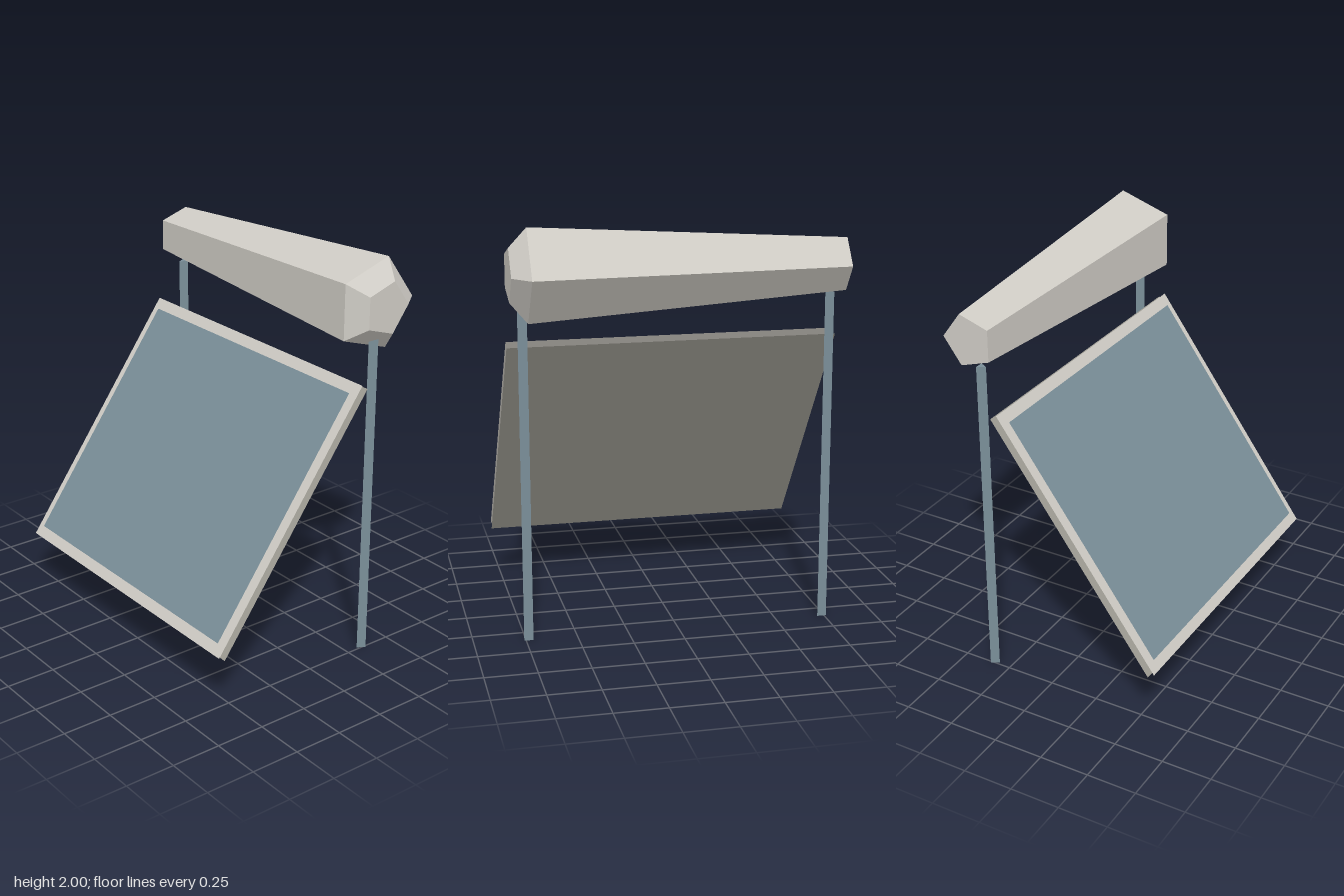
import * as THREE from 'three';

const mat = (name, color, side = THREE.FrontSide) => {
  const m = new THREE.MeshStandardMaterial({ color, flatShading: true, side });
  m.name = name;
  return m;
};

export function createModel() {
  const group = new THREE.Group();
  const stone = mat('pale stone', 0xcfccc5, THREE.DoubleSide);
  const shade = mat('darker stone', 0xa09e95, THREE.DoubleSide);
  const slate = mat('slate blue', 0x7a8e98, THREE.DoubleSide);

  const add = (parent, name, geometry, material, x, y, z) => {
    const mesh = new THREE.Mesh(geometry, material);
    mesh.name = name;
    mesh.position.set(x, y, z);
    parent.add(mesh);
    return mesh;
  };

  // Five-sided tapering roller casing, widest near its left end
  const profile = [[0, -0.8], [0.132, -0.8], [0.231, 0.72], [0.132, 0.8], [0, 0.8]]
    .map(([r, y]) => new THREE.Vector2(r, y));
  const casing = new THREE.LatheGeometry(profile, 5);
  casing.rotateY(Math.PI).rotateZ(-Math.PI / 2);
  add(group, 'rollerCasing', casing, stone, 0, 1.78, -0.363);

  // Three-sided posts
  const post = new THREE.CylinderGeometry(0.026, 0.026, 1.64, 3);
  for (const s of [-1, 1]) {
    add(group, s > 0 ? 'leftPost' : 'rightPost', post, slate, s * 0.737, 0.82, -0.341);
  }

  // Tilted panel made of thin parallel sheets
  const panel = new THREE.Group();
  panel.name = 'tiltedPanel';
  panel.position.set(0, 0.869, 0.183);
  panel.rotation.x = -0.6245;
  const sheet = new THREE.PlaneGeometry(1.6, 1.408);
  add(panel, 'panelBorder', sheet, stone, 0, 0, 0);
  add(panel, 'panelBack', sheet, shade, 0, 0, -0.04);
  add(panel, 'panelFace', new THREE.PlaneGeometry(1.512, 1.295), slate, 0, 0, 0.009);
  group.add(panel);

  return group;
}
